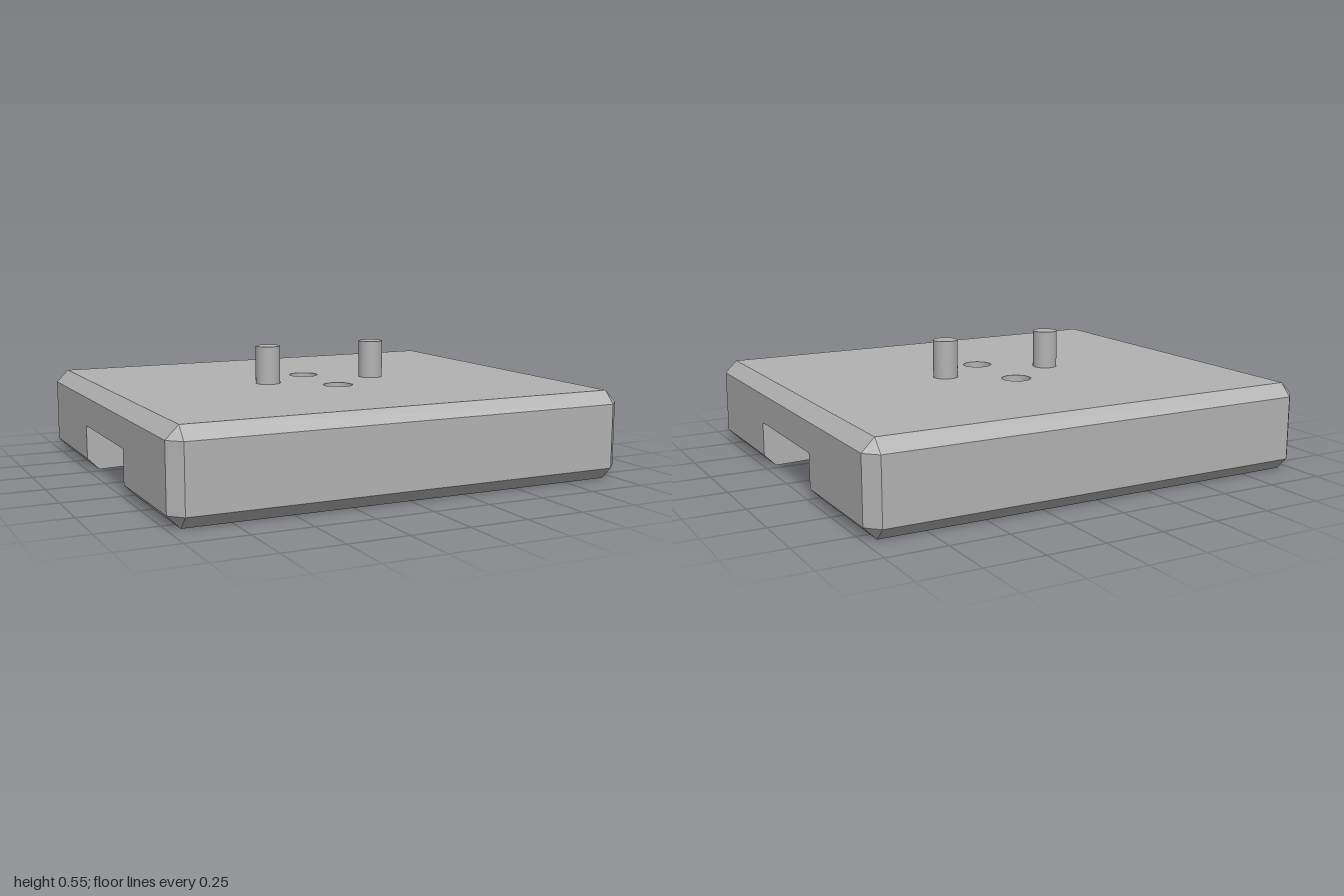
import * as THREE from 'three';

const H = 0.38, CEIL = 0.2, C = 0.053, X = 1, Z = 0.87;
const PIN_X = 0.255, BOLT_Z = 0.18, BOLT_R = 0.064, BORE_R = 0.112, BORE_DEPTH = 0.1;

// Half width of the channel: slightly bowed, widest in the middle
const channel = (x) => 0.283 + 0.05 * (1 - x * x);

// Rings are lists of [x, z]
const circle = (cx, cz, r, n = 32) => Array.from({ length: n }, (_, i) => {
  const a = -i / n * Math.PI * 2;
  return [cx + r * Math.cos(a), cz + r * Math.sin(a)];
});

// Rectangle with cut corners; inset moves the long sides in until the cut vanishes
function plateRing(inset) {
  const ox = X - inset, oz = Z - inset, ix = X - C, iz = Z - C;
  return [[ox, iz], [ix, oz], [-ix, oz], [-ox, iz], [-ox, -iz], [-ix, -oz], [ix, -oz], [ox, -iz]];
}

function arc(half, n = 24) {
  return Array.from({ length: n + 1 }, (_, i) => {
    const x = half * (2 * i / n - 1);
    return [x, channel(x)];
  });
}

const railRing = (inset) => [...plateRing(inset).slice(0, 4), ...arc(X - inset)];

// Wall between two rings at two heights
function loft(low, y0, high, y1, smooth = false) {
  const n = low.length, pos = [], idx = [];
  for (let i = 0; i < n; i++) pos.push(low[i][0], y0, low[i][1], high[i][0], y1, high[i][1]);
  for (let i = 0; i < n; i++) {
    const a = 2 * i, b = 2 * ((i + 1) % n);
    idx.push(a, a + 1, b + 1, a, b + 1, b);
  }
  let g = new THREE.BufferGeometry();
  g.setAttribute('position', new THREE.Float32BufferAttribute(pos, 3));
  g.setIndex(idx);
  if (!smooth) g = g.toNonIndexed();
  g.computeVertexNormals();
  return g;
}

// Flat horizontal face with holes, facing up or down
function cap(ring, holes, y, up) {
  const s = up ? -1 : 1;
  const pts = (r) => r.map(([x, z]) => new THREE.Vector2(x, z * s));
  const shape = new THREE.Shape(pts(ring));
  holes.forEach((h) => shape.holes.push(new THREE.Path(pts(h))));
  return new THREE.ShapeGeometry(shape).rotateX(s * Math.PI / 2).translate(0, y, 0);
}

export function createModel() {
  const model = new THREE.Group();
  const grey = new THREE.MeshStandardMaterial({ color: 0xb2b2b2 });
  grey.name = 'grey';
  const add = (parent, name, geometry) => {
    const mesh = new THREE.Mesh(geometry, grey);
    mesh.name = name;
    parent.add(mesh);
    return mesh;
  };

  // Upper plate with chamfered rim
  const plate = new THREE.Group();
  plate.name = 'plate';
  model.add(plate);
  const bolts = [-BOLT_Z, BOLT_Z];
  const full = plateRing(0);
  const top = [[X - C, Z - C], [C - X, Z - C], [C - X, C - Z], [X - C, C - Z]];
  add(plate, 'plateSides', loft(full, CEIL, full, H - C));
  add(plate, 'topChamfer', loft(full, H - C, plateRing(C), H));
  add(plate, 'topFace', cap(top, bolts.map((z) => circle(0, z, BOLT_R)), H, true));

  // Channel ceiling and counterbored through holes
  const side = arc(X);
  const ceiling = [...side, ...side.map(([x, z]) => [-x, -z])];
  add(plate, 'channelCeiling', cap(ceiling, bolts.map((z) => circle(0, z, BORE_R)), CEIL, false));
  for (const z of bolts) {
    const bore = circle(0, z, BORE_R), hole = circle(0, z, BOLT_R), y = CEIL + BORE_DEPTH;
    add(plate, 'counterboreWall', loft(bore, CEIL, bore, y, true));
    add(plate, 'counterboreSeat', cap(bore, [hole], y, false));
    add(plate, 'throughHoleWall', loft(hole, y, hole, H, true));
  }

  // Two rails beside the channel, each with two blind pockets underneath
  for (const turn of [0, Math.PI]) {
    const rail = new THREE.Group();
    rail.name = turn ? 'backRail' : 'frontRail';
    rail.rotation.y = turn;
    model.add(rail);
    const outer = railRing(0), foot = railRing(C);
    const pockets = [-0.555, 0.555].map((x) => circle(x, 0.61, 0.115));
    add(rail, 'railSides', loft(outer, C, outer, CEIL));
    add(rail, 'bottomChamfer', loft(foot, 0, outer, C));
    add(rail, 'railBottom', cap(foot, pockets, 0, false));
    for (const p of pockets) {
      add(rail, 'pocketWall', loft(p, 0, p, 0.1, true));
      add(rail, 'pocketEnd', cap(p, [], 0.1, false));
    }
  }

  // Locating pins
  for (const x of [-PIN_X, PIN_X]) {
    const pin = add(model, x > 0 ? 'leftPin' : 'rightPin', new THREE.CylinderGeometry(0.054, 0.054, 0.175, 32));
    pin.position.set(x, 0.4575, 0);
  }
  return model;
}
